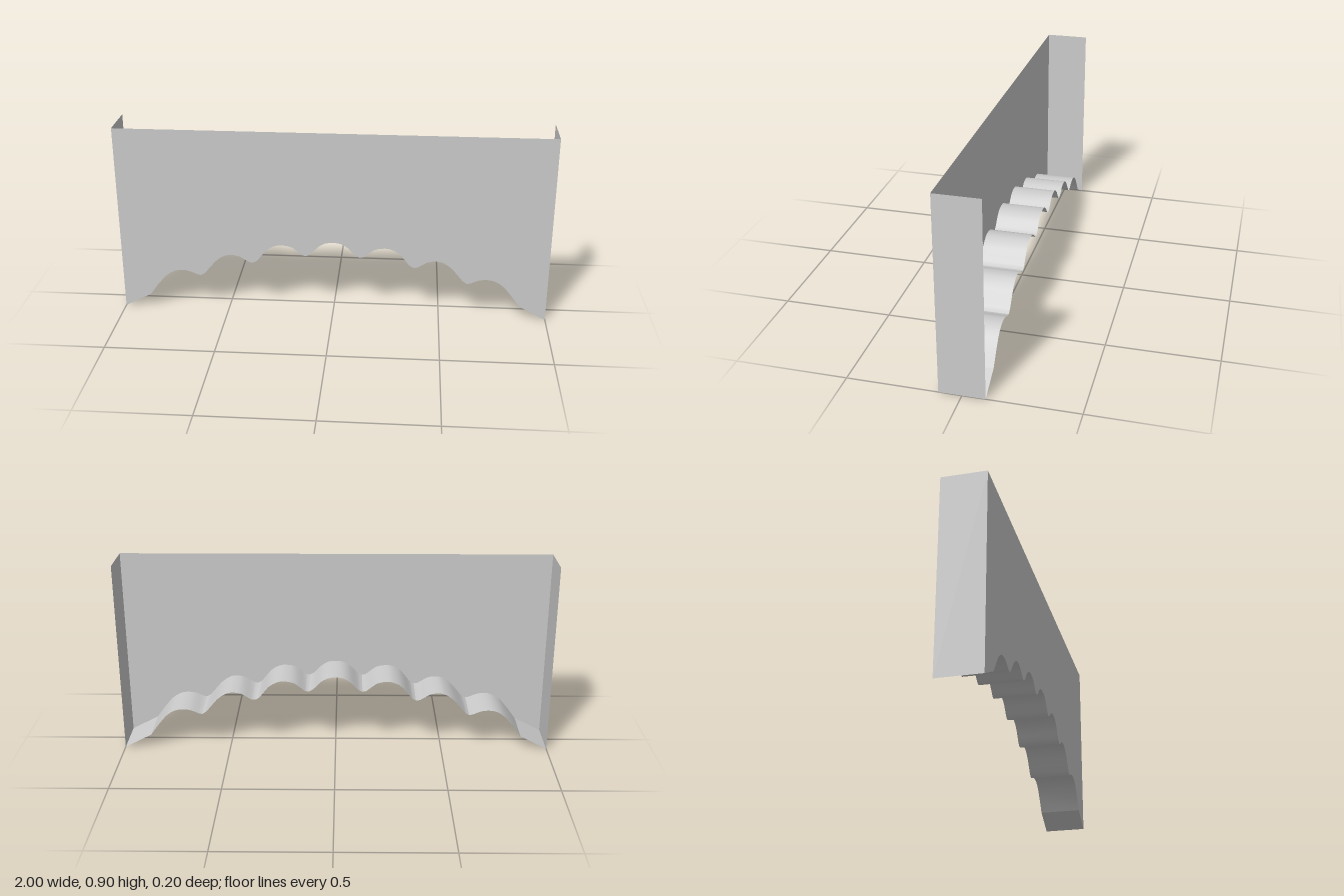
import * as THREE from 'three';

const HEIGHT = 0.9, HALF = 1, DEPTH = 0.1;

// Scallops of the right half, each from cusp to cusp, as [x, y]
const CENTRE = [[0, 0.365], [0.037, 0.36], [0.07, 0.34], [0.105, 0.304], [0.125, 0.293]];
const LOBES = [
  [[0.125, 0.293], [0.144, 0.297], [0.19, 0.334], [0.24, 0.344], [0.273, 0.339], [0.315, 0.313], [0.355, 0.262], [0.375, 0.25]],
  [[0.375, 0.25], [0.395, 0.252], [0.44, 0.28], [0.48, 0.286], [0.51, 0.281], [0.556, 0.249], [0.607, 0.188], [0.628, 0.175]],
  [[0.628, 0.175], [0.645, 0.179], [0.68, 0.194], [0.717, 0.199], [0.754, 0.193], [0.8, 0.163], [0.875, 0.065]],
];
const FOOT = [[0.875, 0.065], [1, 0]];

const mirror = pts => pts.map(([x, y]) => [-x, y]).reverse();

// Smooth run of points through one scallop
function smooth(pts) {
  if (pts.length < 3) return pts.map(p => new THREE.Vector2(...p));
  const curve = new THREE.CatmullRomCurve3(pts.map(([x, y]) => new THREE.Vector3(x, y, 0)), false, 'centripetal');
  return curve.getPoints((pts.length - 1) * 2).map(p => new THREE.Vector2(p.x, p.y));
}

// Underside strip swept from front to back along a run of points
function strip(pts) {
  const pos = [], index = [];
  pts.forEach((p, i) => {
    pos.push(p.x, p.y, DEPTH, p.x, p.y, -DEPTH);
    if (i) {
      const a = 2 * i - 2;
      index.push(a, a + 1, a + 2, a + 1, a + 3, a + 2);
    }
  });
  const g = new THREE.BufferGeometry();
  g.setAttribute('position', new THREE.Float32BufferAttribute(pos, 3));
  g.setIndex(index);
  g.computeVertexNormals();
  return g;
}

export function createModel() {
  const group = new THREE.Group();
  group.name = 'scallopedValance';
  const material = new THREE.MeshStandardMaterial({ color: 0xcccccc, side: THREE.DoubleSide });
  const add = (name, geometry, parent = group) => {
    const mesh = new THREE.Mesh(geometry, material);
    mesh.name = name;
    parent.add(mesh);
    return mesh;
  };

  // All runs of the lower edge from -x to +x
  const right = [...LOBES, FOOT];
  const runs = [
    ...right.map(mirror).reverse(),
    [...mirror(CENTRE), ...CENTRE.slice(1)],
    ...right,
  ].map(smooth);

  // Front panel with the scalloped lower edge
  const outline = runs.flatMap((run, i) => (i ? run.slice(1) : run));
  outline.push(new THREE.Vector2(HALF, HEIGHT), new THREE.Vector2(-HALF, HEIGHT));
  add('frontPanel', new THREE.ShapeGeometry(new THREE.Shape(outline))).position.z = DEPTH;

  // Underside following the scallops; top and back stay open
  const underside = new THREE.Group();
  underside.name = 'underside';
  group.add(underside);
  runs.forEach((run, i) => add('scallop' + (i + 1), strip(run), underside));

  // End panels
  for (const side of [-1, 1]) {
    const end = add(side > 0 ? 'leftEnd' : 'rightEnd', new THREE.PlaneGeometry(2 * DEPTH, HEIGHT));
    end.position.set(side * HALF, HEIGHT / 2, 0);
    end.rotation.y = side * Math.PI / 2;
  }
  return group;
}
